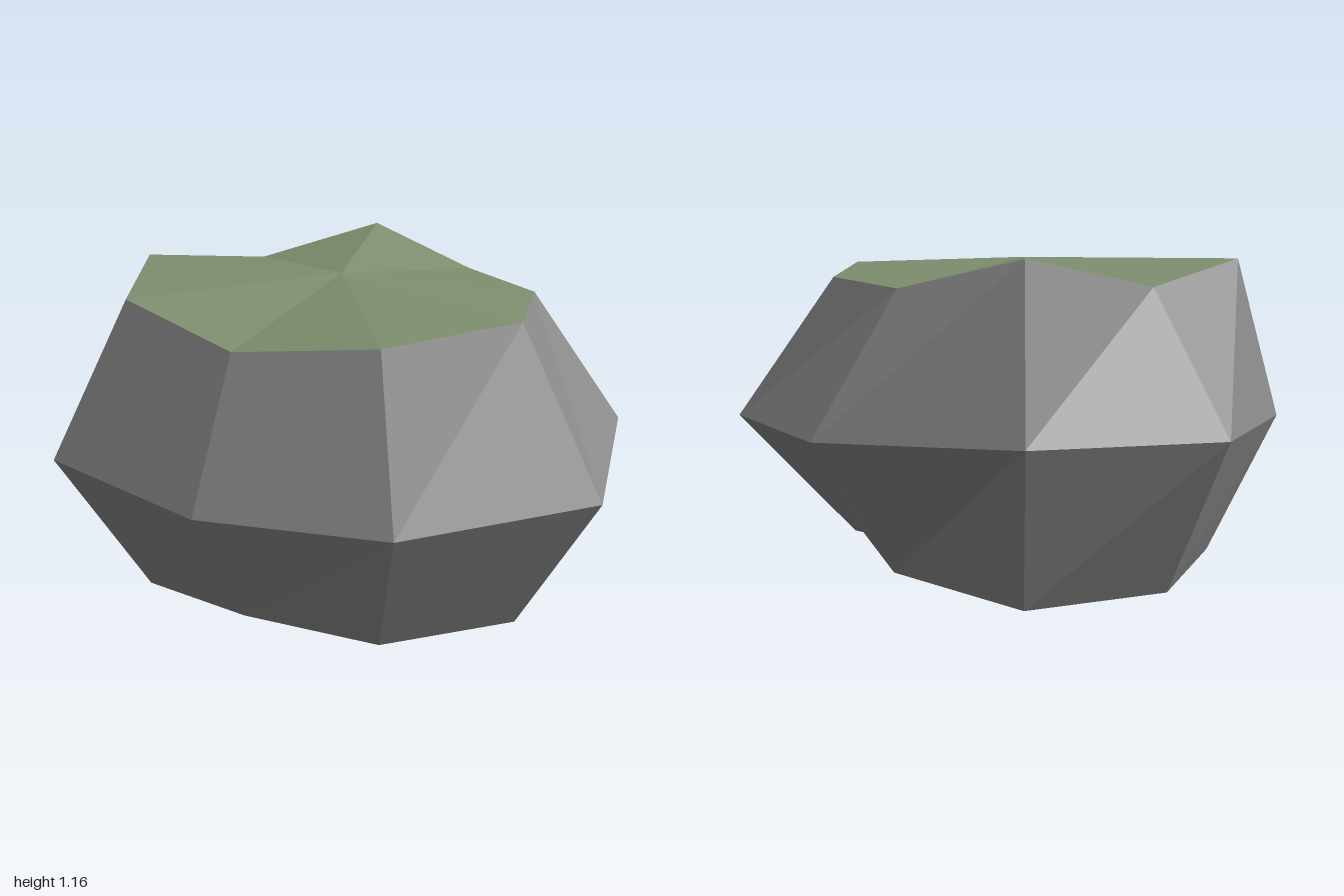
import * as THREE from 'three';

const SIDES = 9;
const CX = -0.045, CZ = -0.085;

// Irregular rings from bottom to top: radius and height at each 40 degree step
const bottomRing = makeRing(
  [0.785, 0.6, 0.665, 0.745, 0.73, 0.683, 0.755, 0.665, 0.72],
  [0.05, 0.18, 0.13, 0.075, 0.08, 0.11, 0.06, 0.125, 0.095]);
const middleRing = makeRing(
  [1.08, 1.02, 1.01, 0.918, 0.975, 0.915, 1.046, 0.908, 0.945],
  new Array(SIDES).fill(0.61));
const topRing = makeRing(
  [0.75, 0.68, 0.635, 0.76, 0.645, 0.765, 0.755, 0.665, 0.73],
  [1.145, 1.095, 1.065, 1.16, 1.07, 1.16, 1.15, 1.08, 1.14]);

function makeRing(radii, heights) {
  return radii.map((r, i) => {
    const a = (i / SIDES) * Math.PI * 2;
    return new THREE.Vector3(CX + r * Math.sin(a), heights[i], CZ + r * Math.cos(a));
  });
}

// Triangles joining a lower ring to an upper ring
function band(lower, upper) {
  return lower.flatMap((p, i) => {
    const j = (i + 1) % SIDES;
    return [p, lower[j], upper[j], p, upper[j], upper[i]];
  });
}

// Fan of triangles closing a ring at a central point
function cap(ring, y, facesUp) {
  const centre = new THREE.Vector3(CX, y, CZ);
  return ring.flatMap((p, i) => {
    const q = ring[(i + 1) % SIDES];
    return facesUp ? [centre, p, q] : [centre, q, p];
  });
}

function facetedMesh(name, points, material) {
  const geometry = new THREE.BufferGeometry().setFromPoints(points);
  geometry.computeVertexNormals();
  const mesh = new THREE.Mesh(geometry, material);
  mesh.name = name;
  return mesh;
}

export function createModel() {
  const stone = new THREE.MeshStandardMaterial({ color: 0x8a8a8a });
  stone.name = 'grey stone';
  const moss = new THREE.MeshStandardMaterial({ color: 0x7f8f6f });
  moss.name = 'moss green';

  const model = new THREE.Group();
  model.name = 'mossyRock';
  model.add(
    facetedMesh('rockUnderside', cap(bottomRing, 0, false), stone),
    facetedMesh('rockLowerSides', band(bottomRing, middleRing), stone),
    facetedMesh('rockUpperSides', band(middleRing, topRing), stone),
    facetedMesh('mossTop', cap(topRing, 1.165, true), moss));
  return model;
}
